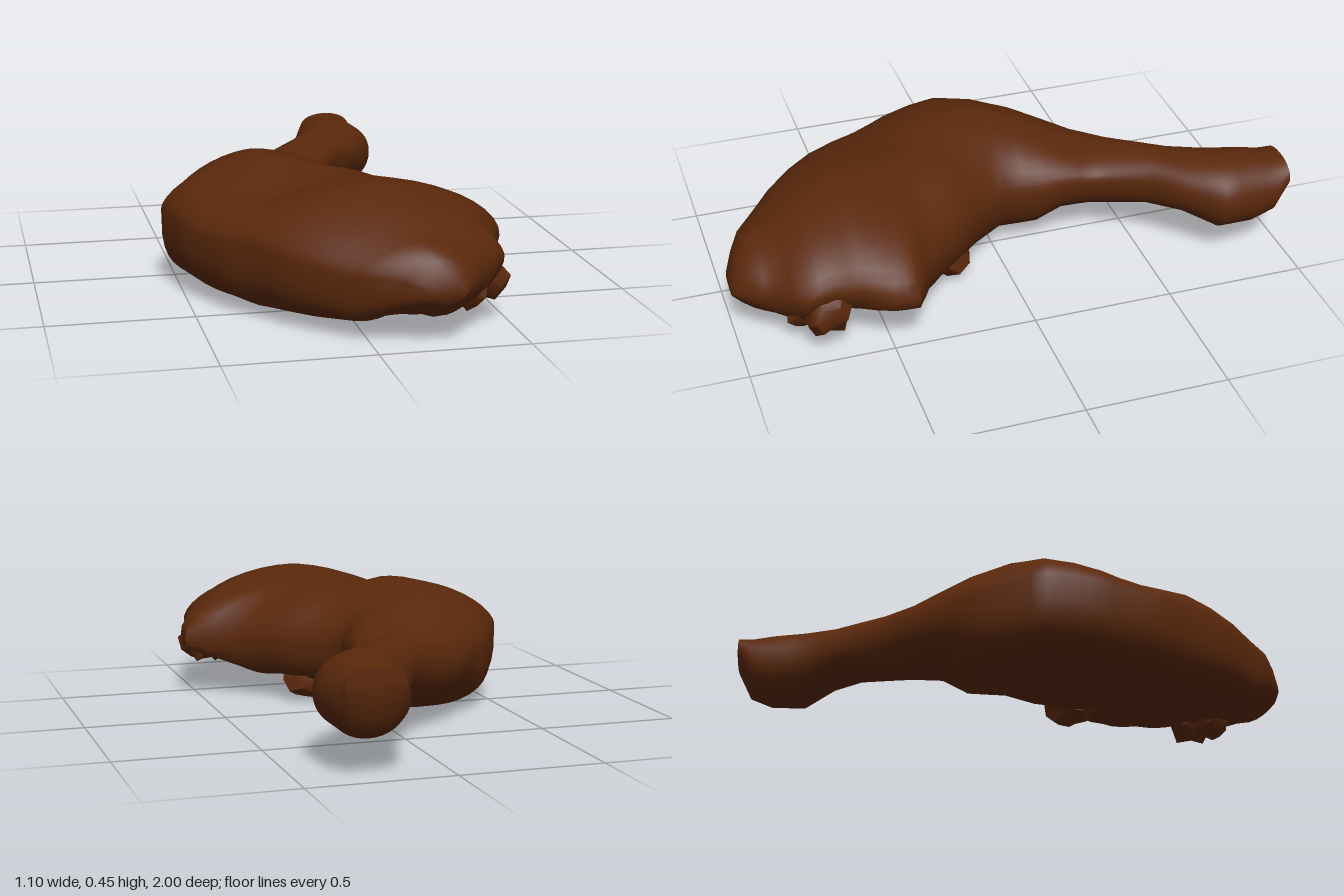
import * as THREE from 'three';
import { toCreasedNormals } from 'three/addons/utils/BufferGeometryUtils.js';

// Cross-sections from shank to thigh: z, left x, right x, bottom y, top y
const SHANK = [
  [-1, 0.17, 0.37, 0.25, 0.36], [-0.95, 0.14, 0.385, 0.145, 0.36], [-0.87, 0.115, 0.39, 0.11, 0.37],
  [-0.75, 0.08, 0.40, 0.11, 0.375], [-0.64, 0.02, 0.32, 0.155, 0.36], [-0.54, -0.04, 0.22, 0.15, 0.36],
  [-0.46, -0.12, 0.17, 0.13, 0.35], [-0.36, -0.25, 0.12, 0.105, 0.34], [-0.25, -0.35, 0.115, 0.09, 0.375]
];
const DRUMSTICK = [
  [-0.16, -0.43, 0.11, 0.03, 0.41], [-0.03, -0.50, 0.08, 0.01, 0.445], [0.08, -0.555, 0.16, 0.005, 0.455],
  [0.18, -0.535, 0.26, 0.005, 0.46], [0.28, -0.51, 0.34, 0.003, 0.447], [0.34, -0.485, 0.40, 0, 0.437]
];
const THIGH = [
  [0.42, -0.45, 0.55, 0, 0.435], [0.50, -0.41, 0.55, 0, 0.445], [0.60, -0.33, 0.51, 0.01, 0.455],
  [0.69, -0.27, 0.48, 0.025, 0.425], [0.78, -0.19, 0.48, 0.04, 0.39], [0.87, -0.08, 0.38, 0.055, 0.345],
  [0.93, 0, 0.345, 0.09, 0.32], [0.97, 0.09, 0.31, 0.12, 0.285], [1, 0.16, 0.28, 0.15, 0.22]
];
// Add a halfway section in every gap
const SECTIONS = [...SHANK, ...DRUMSTICK, ...THIGH].flatMap((section, i, all) =>
  i === 0 ? [section] : [section.map((v, k) => (v + all[i - 1][k]) / 2), section]);
const SIDES = 40;

// Lower limit that thins the meat towards the torn right edge
const BOTTOM = [[-0.3, 0], [-0.2, 0.003], [-0.05, 0.022], [0.12, 0.033], [0.22, 0.08], [0.4, 0.11], [0.5, 0.15], [0.55, 0.19]];

function sample(curve, x) {
  for (let i = 1; i < curve.length; i++) {
    const [x0, y0] = curve[i - 1], [x1, y1] = curve[i];
    if (x <= x1) return y0 + (y1 - y0) * Math.max(0, (x - x0) / (x1 - x0));
  }
  return curve[curve.length - 1][1];
}

const bump = (d, width) => Math.exp(-((d / width) ** 2));

// One point of the skin: a rounded section, then underside limit, fold and torn hollows
function skinPoint([z, left, right, low, high], angle) {
  const c = Math.cos(angle), s = Math.sin(angle);
  const body = THREE.MathUtils.smoothstep(z, -0.4, 0);
  const outer = c < 0;
  // Domed above, fuller below on the outer side
  const extra = s > 0 ? (outer ? -0.5 : -0.25) : (outer ? 1.5 : 0.2);
  const power = 2 / (2.1 + extra * body);
  const round = (v) => Math.sign(v) * Math.abs(v) ** power;
  // Height of the widest point
  const waist = low + (high - low) * (0.5 + (outer ? 0.09 * body : 0.17 * bump(z + 0.35, 0.25)));
  let x = (left + right) / 2 + (right - left) / 2 * round(c);
  let y = waist + (s > 0 ? high - waist : waist - low) * round(s);
  if (z > -0.3) y = Math.max(y, sample(BOTTOM, x));
  // Crease between drumstick and thigh
  const fold = (x + 0.12) * 0.74 + (z - 0.3) * 0.67;
  if (s > 0) y -= 0.024 * s * bump(fold, 0.08) * bump(z - 0.25, 0.3);
  // Ragged underside of the thigh
  if (s < 0 && z > 0.1) {
    const ramp = THREE.MathUtils.smoothstep(x, -0.1, 0.1);
    y -= 0.04 * s * ramp * (0.5 + 0.5 * Math.sin(x * 19 + z * 7) * Math.cos(z * 15 - x * 6));
  }
  // Undercut below the skin on the torn right side
  if (c > 0) x -= 0.05 * c * bump(z - 0.68, 0.14) * bump(s + 0.4, 0.35);
  return [x, y, z];
}

function loftGeometry() {
  const points = [], index = [];
  SECTIONS.forEach((section) => {
    for (let j = 0; j < SIDES; j++) points.push(...skinPoint(section, j / SIDES * Math.PI * 2));
  });
  for (let i = 0; i < SECTIONS.length - 1; i++) {
    for (let j = 0; j < SIDES; j++) {
      const a = i * SIDES + j, b = i * SIDES + (j + 1) % SIDES;
      index.push(a, b, a + SIDES, b, b + SIDES, a + SIDES);
    }
  }
  // Close both ends
  [0, SECTIONS.length - 1].forEach((row) => {
    const [z, left, right, low, high] = SECTIONS[row];
    const centre = points.length / 3;
    points.push((left + right) / 2, (low + high) / 2, z);
    for (let j = 0; j < SIDES; j++) {
      const a = row * SIDES + j, b = row * SIDES + (j + 1) % SIDES;
      if (row === 0) index.push(centre, b, a);
      else index.push(centre, a, b);
    }
  });
  const geometry = new THREE.BufferGeometry();
  geometry.setAttribute('position', new THREE.Float32BufferAttribute(points, 3));
  geometry.setIndex(index);
  return toCreasedNormals(geometry, 1);
}

// Irregular scrap of torn meat
function scrapGeometry(seed) {
  const geometry = new THREE.IcosahedronGeometry(1, 1);
  const p = geometry.attributes.position;
  for (let i = 0; i < p.count; i++) {
    const x = p.getX(i), y = p.getY(i), z = p.getZ(i);
    const r = 0.82 + 0.18 * Math.sin(x * 5 + seed) * Math.cos(y * 4 - z * 6 + seed * 2);
    p.setXYZ(i, x * r, y * r, z * r);
  }
  return toCreasedNormals(geometry, 0.9);
}

export function createModel() {
  const roastedSkin = new THREE.MeshStandardMaterial({ color: 0x5a280b });
  roastedSkin.name = 'roasted skin';
  const model = new THREE.Group();
  model.name = 'roastedLeg';

  const meat = new THREE.Mesh(loftGeometry(), roastedSkin);
  meat.name = 'drumstickAndThigh';
  model.add(meat);

  // Torn scraps along the open edge and underside: position, size
  const scraps = [
    [[0.42, 0.16, 0.71], [0.10, 0.10, 0.10]],
    [[0.35, 0.14, 0.78], [0.09, 0.09, 0.08]],
    [[0.14, 0.08, 0.22], [0.09, 0.08, 0.12]]
  ];
  scraps.forEach(([position, size], i) => {
    const scrap = new THREE.Mesh(scrapGeometry(i * 1.7), roastedSkin);
    scrap.name = 'tornScrap' + (i + 1);
    scrap.position.set(...position);
    scrap.scale.set(...size);
    model.add(scrap);
  });
  return model;
}
